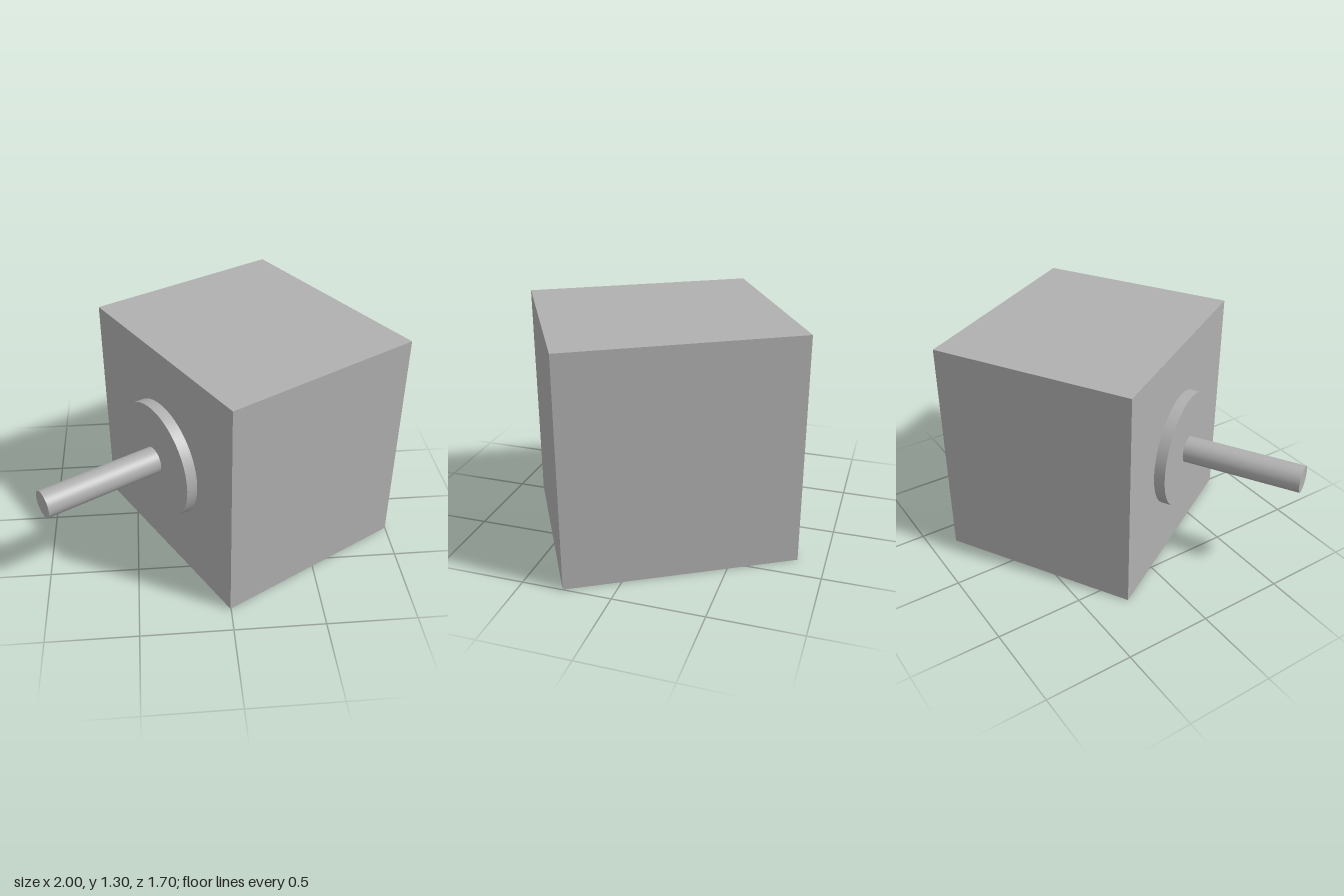
import * as THREE from 'three';

export function createModel() {
  const model = new THREE.Group();
  model.name = 'motor';
  const grey = new THREE.MeshStandardMaterial({ color: 0xb0b0b0 });
  grey.name = 'grey';

  const size = 1.292, depth = 1.158, midY = 0.648;
  const face = depth / 2, flangeFront = 0.642, shaftEnd = 1.312;

  const add = (name, geometry, z) => {
    const mesh = new THREE.Mesh(geometry, grey);
    mesh.name = name;
    mesh.position.set(0, midY, z);
    model.add(mesh);
  };

  // round part along the shaft axis, from z0 to z1
  const addRound = (name, radius, z0, z1) =>
    add(name, new THREE.CylinderGeometry(radius, radius, z1 - z0, 64).rotateX(Math.PI / 2), (z0 + z1) / 2);

  // square housing, then the flange and shaft on its front face
  add('housing', new THREE.BoxGeometry(size, 1.296, depth), 0);
  addRound('flange', 0.335, face, flangeFront);
  addRound('shaft', 0.076, flangeFront, shaftEnd);

  // the whole motor is turned so the shaft points to the front right
  model.rotation.y = -Math.PI / 3;
  model.position.x = 0.175;

  const root = new THREE.Group();
  root.name = 'turnedMotor';
  root.add(model);
  return root;
}
